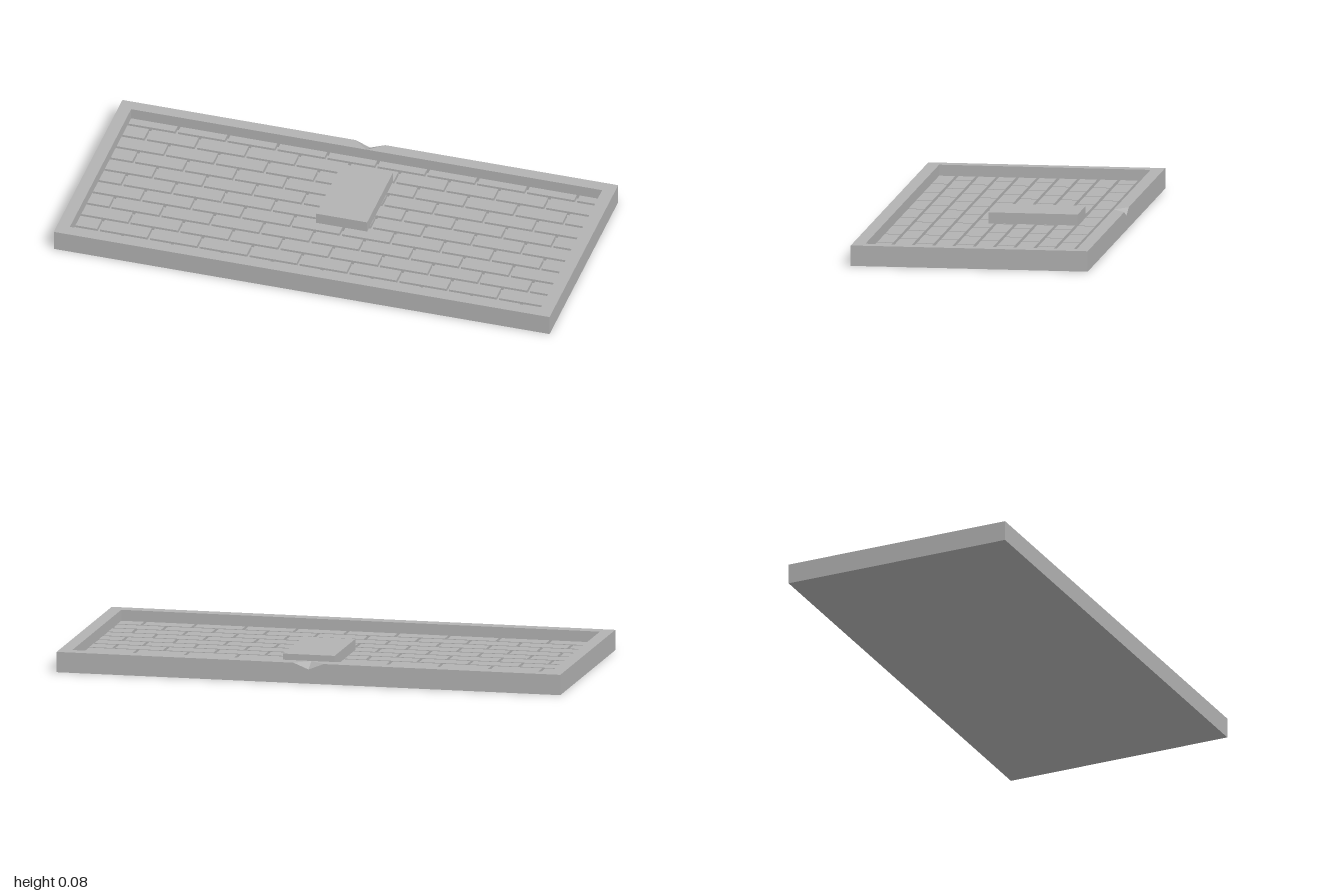
import * as THREE from 'three';
import { ConvexGeometry } from 'three/addons/geometries/ConvexGeometry.js';

export function createModel() {
  const model = new THREE.Group();
  model.name = 'brickTray';
  const grey = new THREE.MeshStandardMaterial({ color: 0xb2b2b2 });
  grey.name = 'grey';

  const X = 1, Z = 0.463;          // outer half sizes
  const IX = 0.95, IZ = 0.413;     // inner half sizes
  const TOP = 0.08, BRICK = 0.037, FLOOR = 0.02;

  function add(name, geometry, parent = model) {
    const mesh = new THREE.Mesh(geometry, grey);
    mesh.name = name;
    parent.add(mesh);
  }

  // Box given by its limits on each axis
  function block(name, x0, x1, y0, y1, z0, z1, parent) {
    const g = new THREE.BoxGeometry(x1 - x0, y1 - y0, z1 - z0);
    g.translate((x0 + x1) / 2, (y0 + y1) / 2, (z0 + z1) / 2);
    add(name, g, parent);
  }

  // Tray floor and plain rims
  block('floor', -IX, IX, 0, FLOOR, -IZ, IZ);
  block('frontRim', -X, X, 0, TOP, IZ, Z);
  block('leftRim', IX, X, 0, TOP, -IZ, IZ);
  block('rightRim', -X, -IX, 0, TOP, -IZ, IZ);

  // Back rim: two mirrored halves that leave a pointed V notch on the centre line
  const notchHalf = 0.06, notchDepth = 0.024;
  for (const s of [1, -1]) {
    const points = [
      [0, 0, -Z], [0, 0, -IZ], [X, 0, -Z], [X, 0, -IZ],
      [X, TOP, -Z], [X, TOP, -IZ], [0, TOP, -IZ],
      [notchHalf, TOP, -Z], [0, TOP - notchDepth, -Z],
    ].map(([x, y, z]) => new THREE.Vector3(s * x, y, z));
    add(s > 0 ? 'backRimLeft' : 'backRimRight', new ConvexGeometry(points));
  }

  // Running-bond bricks, cut off at the inner walls
  const bricks = new THREE.Group();
  bricks.name = 'bricks';
  model.add(bricks);
  const pitchX = 0.2013, pitchZ = 0.0793, gap = 0.012;
  for (let row = 0; row < 11; row++) {
    const z0 = -0.443 + row * pitchZ;
    const start = -0.952 - (row % 2) * pitchX / 2;
    for (let col = 0; col < 10; col++) {
      const x0 = start + col * pitchX;
      block('brick',
        Math.max(x0, -IX), Math.min(x0 + pitchX - gap, IX),
        FLOOR - 0.005, BRICK,
        Math.max(z0, -IZ), Math.min(z0 + pitchZ - gap, IZ), bricks);
    }
  }

  // Raised slab standing level with the rim
  block('slab', -0.064, 0.142, FLOOR - 0.005, TOP, -0.294, 0.055);

  return model;
}
